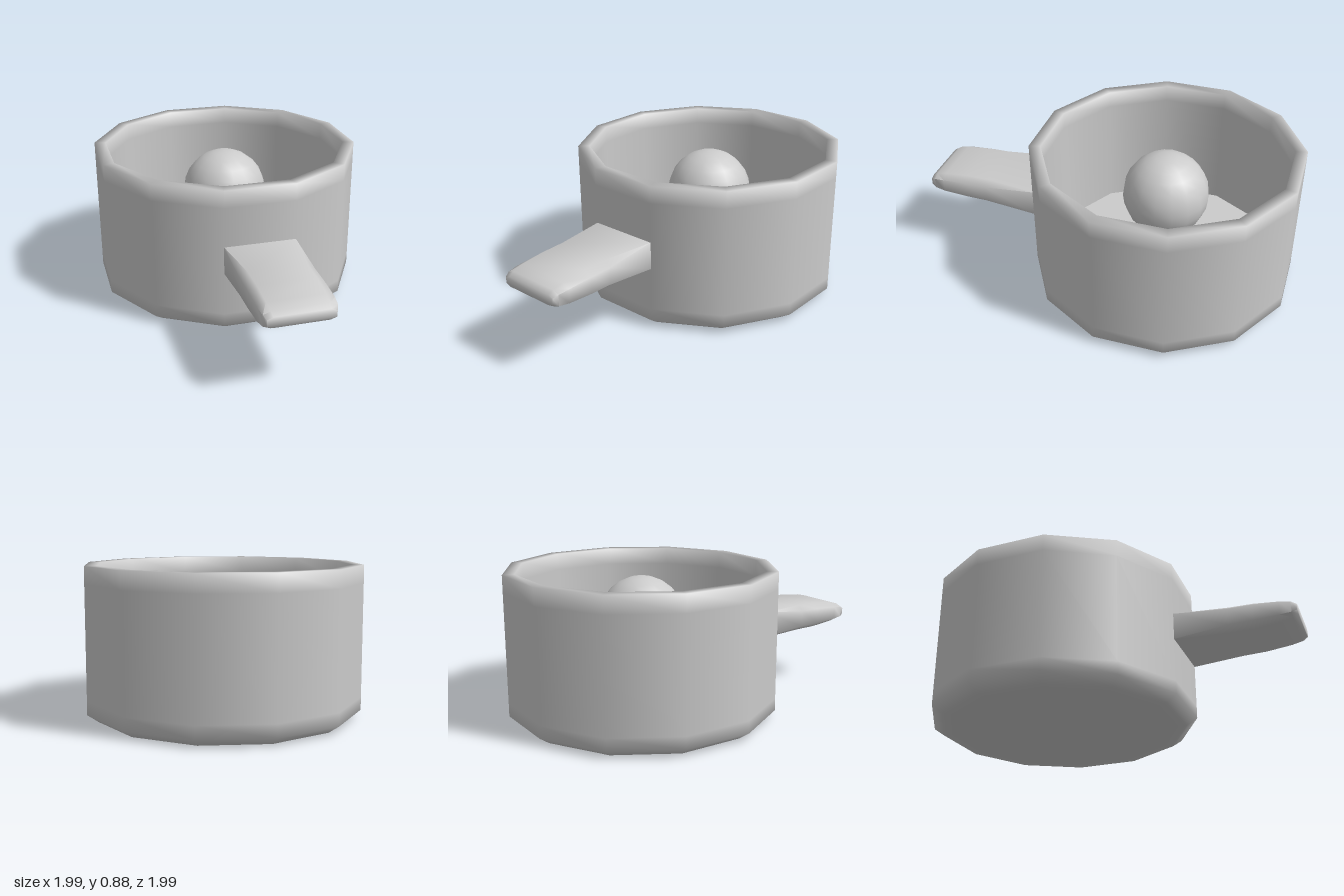
import * as THREE from 'three';
import { toCreasedNormals } from 'three/addons/utils/BufferGeometryUtils.js';

const SIDES = 12;

export function createModel() {
  const model = new THREE.Group();
  const grey = new THREE.MeshStandardMaterial({ color: 0xcccccc });

  const add = (name, geometry, parent) => {
    const mesh = new THREE.Mesh(geometry, grey);
    mesh.name = name;
    parent.add(mesh);
    return mesh;
  };

  // Everything is placed around the axis of the pot
  const pot = new THREE.Group();
  pot.name = 'pot';
  pot.position.set(-0.19, 0, -0.19);
  model.add(pot);

  // Twelve-sided body: base, bevel, outer wall, rim, inner wall
  const profile = [
    [0, 0], [0.69, 0], [0.745, 0], [0.81, 0.045], [0.81, 0.12], [0.81, 0.78],
    [0.81, 0.882], [0.74, 0.882], [0.74, 0.78], [0.74, 0.08],
  ].map(([r, y]) => new THREE.Vector2(r, y));
  add('body', new THREE.LatheGeometry(profile, SIDES), pot);

  // Flat inside floor
  const floor = add('innerFloor', new THREE.CircleGeometry(0.74, SIDES), pot);
  floor.rotation.x = -Math.PI / 2;
  floor.position.y = 0.08;

  // Ball inside the pot
  const ball = add('ball', new THREE.SphereGeometry(0.26, 16, 12), pot);
  ball.position.y = 0.57;

  // Handle grows from one wall panel, pointing diagonally forward
  const handle = add('handle', handleGeometry(), pot);
  handle.position.y = 0.463;
  handle.rotation.y = Math.PI / 4;

  return model;
}

// Loft along +z through eight-cornered sections that start as a rectangle
function handleGeometry() {
  // distance, half width, shoulder height, flat half width, half height
  const sections = [
    [0.78, 0.21, 0.082, 0.21, 0.082],
    [1.1, 0.208, 0.05, 0.165, 0.081],
    [1.24, 0.207, 0.048, 0.162, 0.079],
    [1.39, 0.204, 0.04, 0.16, 0.064],
    [1.455, 0.196, 0.032, 0.155, 0.048],
    [1.485, 0.183, 0.018, 0.15, 0.03],
  ];
  const positions = [];
  const index = [];
  for (const [z, w, s, t, h] of sections) {
    positions.push(
      w, -s, z, w, s, z, t, h, z, -t, h, z,
      -w, s, z, -w, -s, z, -t, -h, z, t, -h, z,
    );
  }
  const n = 8;
  for (let i = 0; i < sections.length - 1; i++) {
    for (let j = 0; j < n; j++) {
      const a = i * n + j;
      const b = i * n + ((j + 1) % n);
      index.push(a, b, b + n, a, b + n, a + n);
    }
  }
  // End cap
  const last = (sections.length - 1) * n;
  for (let j = 1; j < n - 1; j++) index.push(last, last + j, last + j + 1);

  const geometry = new THREE.BufferGeometry();
  geometry.setAttribute('position', new THREE.Float32BufferAttribute(positions, 3));
  geometry.setIndex(index);
  return toCreasedNormals(geometry, 1.1);
}
